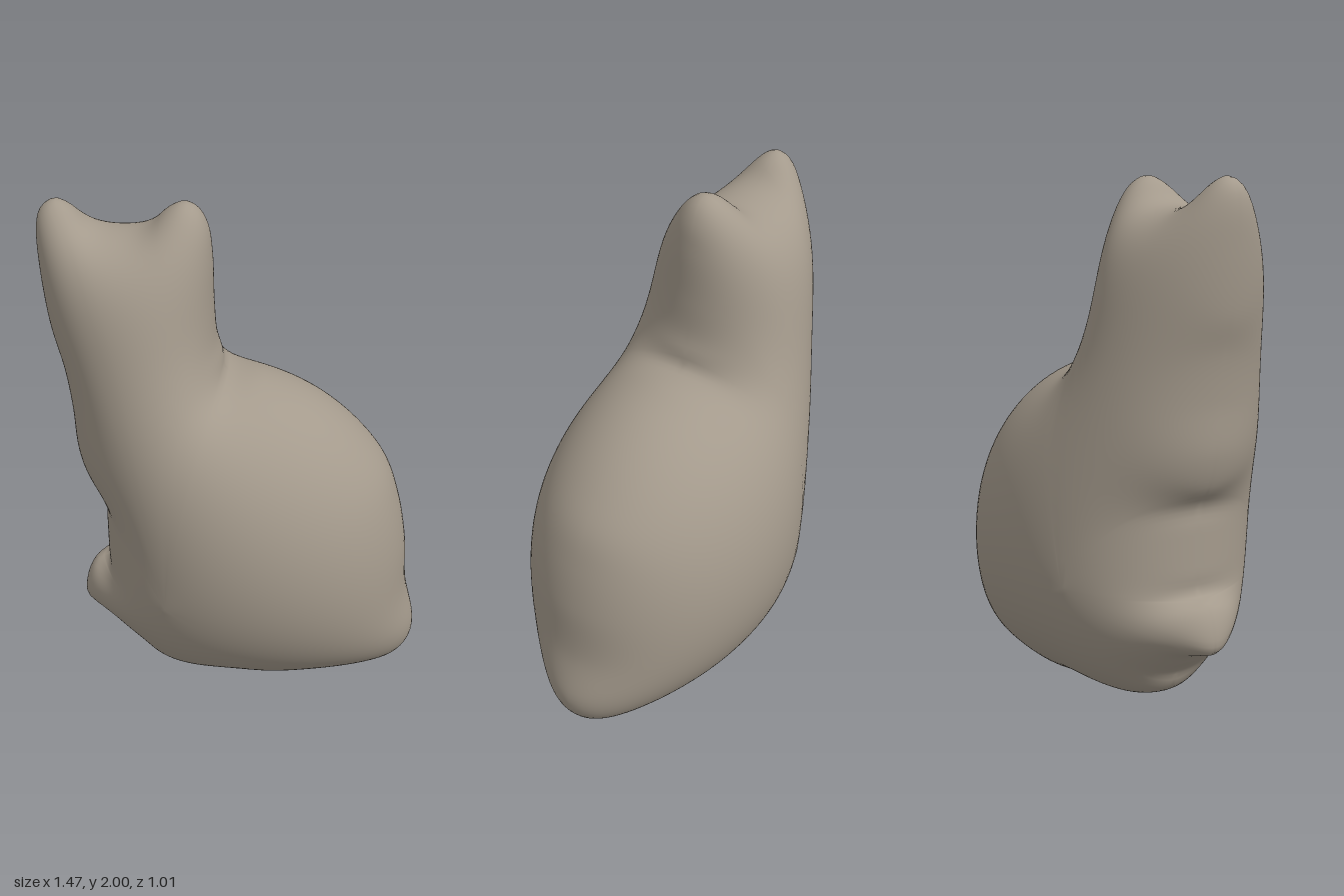
import * as THREE from 'three';

const SPOKES = 260, RINGS = 32, HALF_DEPTH = 0.503;

// Side silhouette, clockwise from the tip of the front ear
const OUTLINE = [
  [-0.66, 2], [-0.61, 1.975], [-0.55, 1.92], [-0.49, 1.895], [-0.37, 1.895], [-0.31, 1.92], [-0.25, 1.975],
  [-0.19, 2], [-0.14, 1.975], [-0.105, 1.91], [-0.09, 1.8], [-0.085, 1.6], [-0.075, 1.46], [-0.055, 1.39],
  [-0.04, 1.335], [0.1, 1.305], [0.25, 1.25], [0.38, 1.17], [0.5, 1.06], [0.59, 0.94], [0.64, 0.8],
  [0.675, 0.62], [0.69, 0.4], [0.73, 0.2], [0.71, 0.12], [0.65, 0.06], [0.5, 0.035], [0.3, 0.022],
  [0.13, 0.002], [0.06, 0.015], [0, 0.028], [-0.06, 0.015], [-0.22, 0.01], [-0.33, 0.045], [-0.37, 0.08],
  [-0.39, 0.13], [-0.46, 0.19], [-0.52, 0.235], [-0.62, 0.27], [-0.62, 0.36], [-0.58, 0.44], [-0.52, 0.47],
  [-0.52, 0.55], [-0.52, 0.72], [-0.52, 0.8], [-0.58, 0.88], [-0.62, 1], [-0.635, 1.2], [-0.66, 1.37],
  [-0.7, 1.52], [-0.73, 1.75], [-0.735, 1.9], [-0.72, 1.96], [-0.69, 1.99],
];

const node = (ring, spoke) => (ring === 0 ? 0 : 1 + (ring - 1) * SPOKES + (spoke % SPOKES));

// Flat mesh of the silhouette: spokes fan out from the chest, the upper ones rising early to fill the neck
function flatMesh() {
  const curve = new THREE.CatmullRomCurve3(OUTLINE.map(([x, y]) => new THREE.Vector3(x, y, 0)), true, 'centripetal');
  curve.arcLengthDivisions = 1500;
  const rim = curve.getSpacedPoints(SPOKES);
  const hub = new THREE.Vector2(-0.25, 0.5);
  const points = [hub];
  for (let r = 1; r <= RINGS; r++) {
    const t = Math.sin((r / RINGS) * Math.PI / 2);
    const rise = 1.6 * t - 0.6 * t * t;
    for (let s = 0; s < SPOKES; s++) {
      const dx = rim[s].x - hub.x, dy = rim[s].y - hub.y;
      points.push(new THREE.Vector2(hub.x + dx * t, hub.y + dy * (dy > 0 ? rise : t)));
    }
  }
  const triangles = [];
  for (let s = 0; s < SPOKES; s++) {
    triangles.push([0, node(1, s + 1), node(1, s)]);
    for (let r = 1; r < RINGS; r++) {
      const a = node(r, s), b = node(r, s + 1), c = node(r + 1, s), d = node(r + 1, s + 1);
      triangles.push([a, b, d], [a, d, c]);
    }
  }
  return { points, triangles };
}

// Inflate like a pillow: height is the root of a membrane under even pressure
function inflate(points, triangles) {
  const links = points.map(() => new Map());
  const load = new Float64Array(points.length), diagonal = new Float64Array(points.length);
  for (const tri of triangles) {
    for (let i = 0; i < 3; i++) {
      const a = tri[i], b = tri[(i + 1) % 3], c = tri[(i + 2) % 3];
      const ab = points[b].clone().sub(points[a]), ac = points[c].clone().sub(points[a]);
      const area2 = Math.max(Math.abs(ab.cross(ac)), 1e-9);
      const w = ab.dot(ac) / area2;
      links[b].set(c, (links[b].get(c) || 0) + w);
      links[c].set(b, (links[c].get(b) || 0) + w);
      diagonal[b] += w;
      diagonal[c] += w;
      load[a] += area2 / 3;
    }
  }
  const near = links.map((m) => [...m.keys()]), weight = links.map((m) => [...m.values()]);
  const u = new Float64Array(points.length);
  const inner = node(RINGS, 0);
  for (let pass = 0; pass < 4000; pass++) {
    for (let i = 0; i < inner; i++) {
      let sum = load[i];
      for (let k = 0; k < near[i].length; k++) sum += weight[i][k] * u[near[i][k]];
      u[i] += 1.93 * (sum / diagonal[i] - u[i]);
    }
  }
  const top = u.reduce((m, v) => Math.max(m, v), 0);
  return Array.from(u, (v) => HALF_DEPTH * Math.sqrt(Math.max(v, 0) / top));
}

// Join the two mirrored halves along the shared rim
function bodyGeometry() {
  const { points, triangles } = flatMesh();
  const depth = inflate(points, triangles);
  const inner = node(RINGS, 0), count = points.length;
  const position = [], index = [];
  points.forEach((p, i) => position.push(p.x, p.y, depth[i]));
  for (let i = 0; i < inner; i++) position.push(points[i].x, points[i].y, -depth[i]);
  const back = (i) => (i < inner ? count + i : i);
  for (const [a, b, c] of triangles) index.push(a, b, c, back(a), back(c), back(b));
  const geometry = new THREE.BufferGeometry();
  geometry.setAttribute('position', new THREE.Float32BufferAttribute(position, 3));
  geometry.setIndex(index);
  geometry.computeVertexNormals();
  return geometry;
}

export function createModel() {
  const clay = new THREE.MeshStandardMaterial({ color: 0xa49a8c });
  clay.name = 'warm grey clay';
  const body = new THREE.Mesh(bodyGeometry(), clay);
  body.name = 'sittingCatBody';
  const model = new THREE.Group();
  model.name = 'sittingCat';
  model.add(body);
  return model;
}
